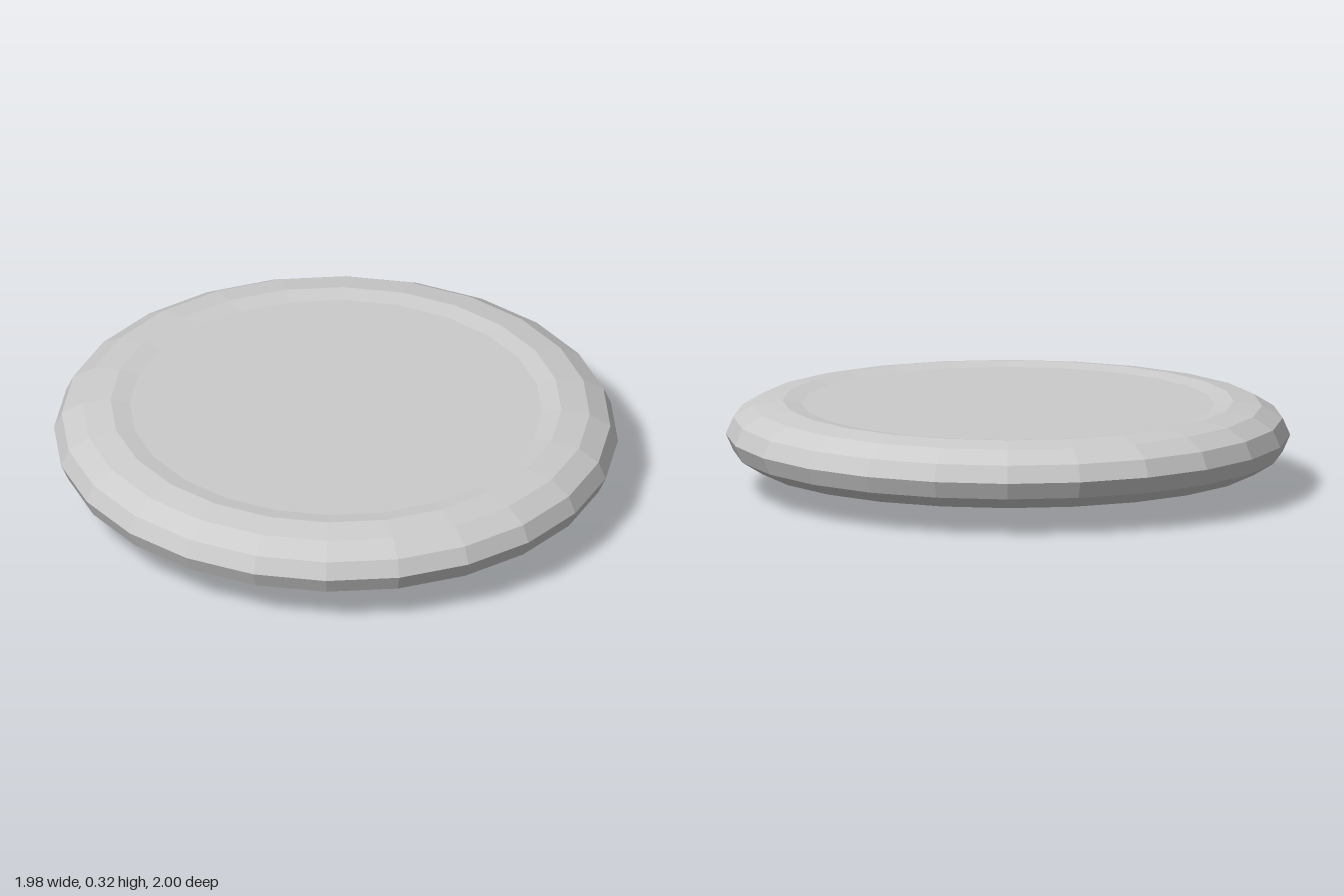
import * as THREE from 'three';

export function createModel() {
  const group = new THREE.Group();
  const material = new THREE.MeshStandardMaterial({ color: 0xcccccc, flatShading: true });
  const centreY = 0.197;

  const add = (name, geometry, y) => {
    const mesh = new THREE.Mesh(geometry, material);
    mesh.name = name;
    mesh.position.y = y;
    group.add(mesh);
  };

  // Faceted rim: a torus flattened in height
  const rim = new THREE.TorusGeometry(0.8, 0.2, 12, 24);
  rim.rotateX(Math.PI / 2);
  rim.scale(0.988, 0.6, 1);
  add('rim', rim, centreY);

  // Flat disc filling the rim
  const disc = new THREE.CylinderGeometry(0.745, 0.745, 0.218, 48);
  disc.scale(0.988, 1, 1);
  add('disc', disc, centreY);

  // Shallow dome under the disc
  const dome = new THREE.SphereGeometry(0.5, 32, 16);
  dome.scale(0.988, 0.27, 1);
  add('bottomDome', dome, 0.135);

  return group;
}
